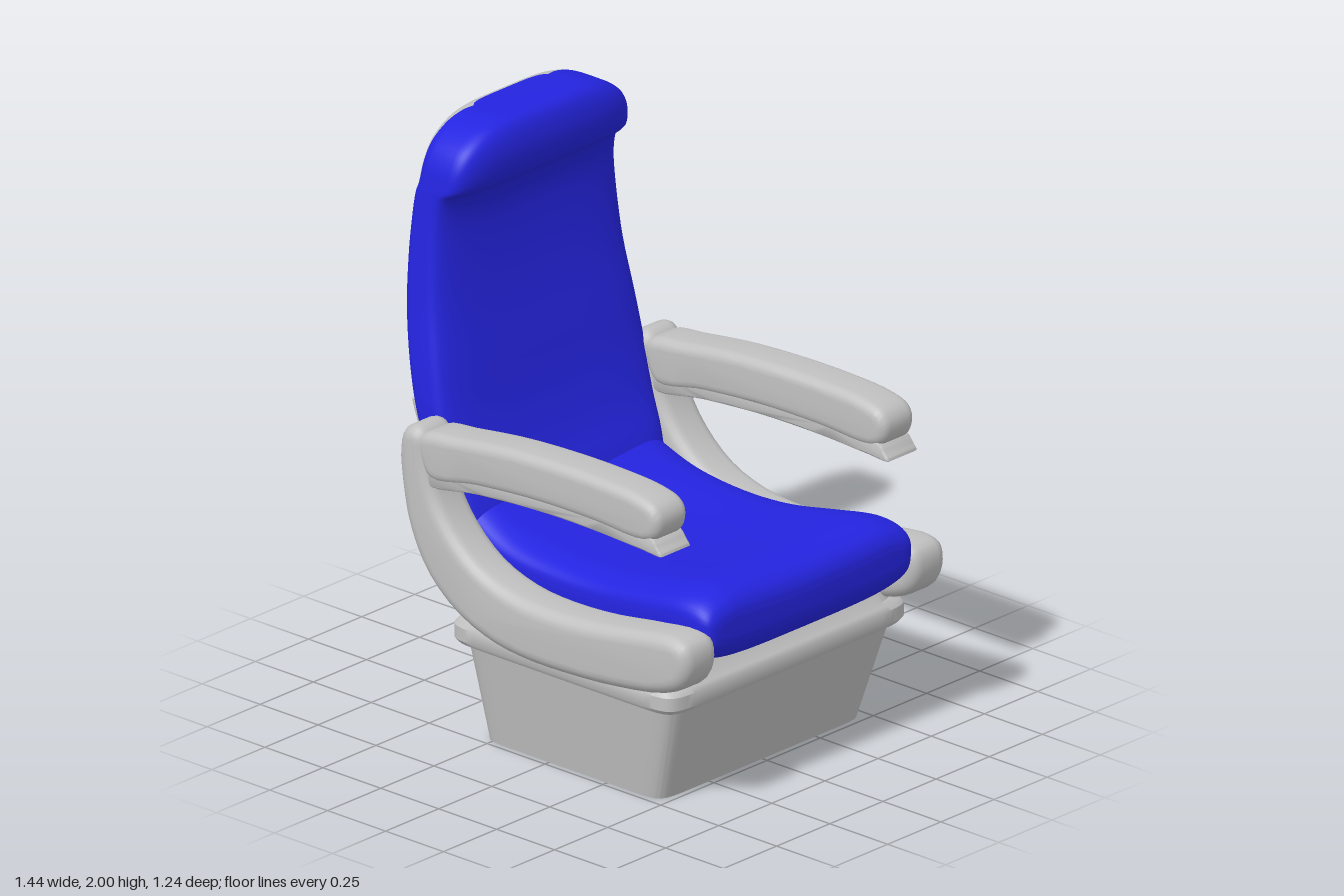
import * as THREE from 'three';
import { toCreasedNormals } from 'three/addons/utils/BufferGeometryUtils.js';
import { RoundedBoxGeometry } from 'three/addons/geometries/RoundedBoxGeometry.js';

const RING = 64;

// Lofts superellipse rings through rows of [t, low, high, halfWidth].
// place maps (t, u, v) to a position; isBack(k) marks ring faces for the second material.
function loft(rows, steps, power, place, isBack = () => false) {
  const span = new THREE.CatmullRomCurve3(rows.map(r => new THREE.Vector3(r[0], r[1], r[2])), false, 'catmullrom', 0.5);
  const width = new THREE.CatmullRomCurve3(rows.map(r => new THREE.Vector3(r[3], 0, 0)), false, 'catmullrom', 0.5);
  const pos = [], main = [], back = [];
  const soft = a => Math.sign(a) * Math.pow(Math.abs(a), 2 / power);
  for (let i = 0; i <= steps; i++) {
    const p = span.getPoint(i / steps), w = width.getPoint(i / steps).x;
    for (let k = 0; k < RING; k++) {
      const a = (k / RING) * Math.PI * 2;
      const c = Math.abs(Math.cos(a)) < 1e-9 ? 0 : Math.cos(a);
      const s = Math.abs(Math.sin(a)) < 1e-9 ? 0 : Math.sin(a);
      pos.push(...place(p.x, (p.y + p.z) / 2 + (p.z - p.y) / 2 * soft(c), w * soft(s)));
    }
  }
  for (let i = 0; i < steps; i++) {
    for (let k = 0; k < RING; k++) {
      const n = (k + 1) % RING, a = i * RING + k, b = i * RING + n, c = a + RING, d = b + RING;
      (isBack(k) ? back : main).push(a, c, b, b, c, d);
    }
  }
  // end caps
  for (const end of [0, 1]) {
    const r = rows[end ? rows.length - 1 : 0], centre = pos.length / 3, o = end * steps * RING;
    pos.push(...place(r[0], (r[1] + r[2]) / 2, 0));
    for (let k = 0; k < RING; k++) {
      const a = o + k, b = o + (k + 1) % RING;
      main.push(centre, end ? b : a, end ? a : b);
    }
  }
  const g = new THREE.BufferGeometry();
  g.setAttribute('position', new THREE.Float32BufferAttribute(pos, 3));
  g.setIndex([...main, ...back]);
  g.addGroup(0, main.length, 0);
  g.addGroup(main.length, back.length, 1);
  g.computeVertexNormals();
  return g;
}

// Extrudes a smooth closed side outline between two z values with rounded edges.
function sidePanel(points, z0, z1, bevel, samples = 72) {
  const curve = new THREE.CatmullRomCurve3(points.map(p => new THREE.Vector3(p[0], p[1], 0)), true, 'centripetal');
  const outline = curve.getPoints(samples).slice(0, -1).map(p => new THREE.Vector2(p.x, p.y));
  const g = new THREE.ExtrudeGeometry(new THREE.Shape(outline), {
    depth: z1 - z0 - 2 * bevel, bevelSize: bevel, bevelThickness: bevel, bevelOffset: -bevel, bevelSegments: 5,
  });
  g.translate(0, 0, z0 + bevel);
  return toCreasedNormals(g, 0.8);
}

export function createModel() {
  const blue = new THREE.MeshStandardMaterial({ color: 0x2424e0 });
  blue.name = 'blue upholstery';
  const grey = new THREE.MeshStandardMaterial({ color: 0xc0c0c0 });
  grey.name = 'grey plastic';

  const model = new THREE.Group();
  model.name = 'cabinSeat';
  const add = (name, geometry, material, parent = model) => {
    const mesh = new THREE.Mesh(geometry, material);
    mesh.name = name;
    parent.add(mesh);
    return mesh;
  };
  const upright = (t, u, v) => [u, t, v];

  // Tapered pedestal with a projecting lip
  const pedestal = loft([
    [0, -0.29, 0.48, 0.48], [0.345, -0.34, 0.58, 0.53], [0.345, -0.36, 0.6, 0.56], [0.36, -0.37, 0.61, 0.57],
    [0.405, -0.37, 0.61, 0.57], [0.42, -0.36, 0.6, 0.56], [0.43, -0.345, 0.585, 0.52], [0.5, -0.31, 0.55, 0.5],
  ], 7, 16, upright);
  pedestal.clearGroups();
  add('pedestal', toCreasedNormals(pedestal, 0.6), grey);

  // Backrest: blue padding with a grey shell over the rear faces
  const backrest = loft([
    [0.5, -0.41, -0.3, 0.42], [0.62, -0.45, -0.3, 0.44], [0.75, -0.51, -0.33, 0.46], [0.88, -0.56, -0.385, 0.475],
    [1.04, -0.612, -0.43, 0.485], [1.2, -0.655, -0.46, 0.475], [1.38, -0.685, -0.492, 0.455], [1.55, -0.688, -0.51, 0.44],
    [1.68, -0.682, -0.512, 0.428], [1.76, -0.676, -0.49, 0.422], [1.8, -0.672, -0.438, 0.418], [1.87, -0.665, -0.421, 0.405],
    [1.93, -0.66, -0.424, 0.37], [1.975, -0.655, -0.44, 0.3], [1.995, -0.645, -0.465, 0.23], [2, -0.63, -0.49, 0.18],
  ], 60, 4.5, upright, k => Math.abs(k + 0.5 - RING / 2) < 12);
  add('backrest', backrest, [blue, grey]);

  // Seat cushion, slightly hollow along the middle
  const cushion = loft([
    [-0.42, 0.56, 0.82, 0.44], [-0.34, 0.5, 0.77, 0.455], [-0.2, 0.48, 0.712, 0.465], [0, 0.48, 0.688, 0.465],
    [0.2, 0.48, 0.696, 0.47], [0.4, 0.48, 0.732, 0.485], [0.54, 0.485, 0.758, 0.493], [0.62, 0.495, 0.755, 0.493],
    [0.67, 0.515, 0.732, 0.485], [0.693, 0.55, 0.7, 0.465], [0.7, 0.59, 0.665, 0.43],
  ], 50, 4, (t, u, v) => [t, u - (u > 0.65 ? 0.02 * Math.max(0, 1 - (v / 0.36) ** 2) : 0), -v]);
  cushion.clearGroups();
  add('seatCushion', cushion, blue);

  // Curved side frames and armrests
  const frame = [
    [-0.535, 0.98], [-0.515, 1.045], [-0.465, 1.065], [-0.428, 1.04], [-0.415, 0.97], [-0.375, 0.84], [-0.3, 0.735],
    [-0.19, 0.65], [-0.05, 0.603], [0.1, 0.59], [0.3, 0.6], [0.5, 0.63], [0.64, 0.645], [0.7, 0.625], [0.715, 0.56],
    [0.685, 0.485], [0.6, 0.44], [0.4, 0.405], [0.2, 0.39], [0, 0.39], [-0.15, 0.413], [-0.3, 0.475], [-0.42, 0.58],
    [-0.495, 0.72], [-0.528, 0.87],
  ];
  const rest = [
    [-0.46, 1.0], [-0.44, 1.045], [-0.3, 1.068], [-0.1, 1.093], [0.1, 1.104], [0.3, 1.105], [0.48, 1.094], [0.56, 1.07],
    [0.584, 1.03], [0.57, 0.97], [0.52, 0.942], [0.3, 0.948], [0.05, 0.945], [-0.2, 0.925], [-0.41, 0.9],
  ];
  const lip = [
    [-0.43, 0.93], [-0.2, 0.96], [0.05, 0.975], [0.3, 0.975], [0.55, 0.965], [0.58, 0.935], [0.596, 0.912],
    [0.5, 0.914], [0.3, 0.922], [0.05, 0.92], [-0.2, 0.902], [-0.42, 0.878],
  ];
  for (const [side, s] of [['left', 1], ['right', -1]]) {
    const arm = new THREE.Group();
    arm.name = side + 'Arm';
    model.add(arm);
    const between = (a, b) => (s > 0 ? [a, b] : [-b, -a]);
    add('sideFrame', sidePanel(frame, ...between(0.455, 0.62), 0.045), grey, arm);
    add('armrest', sidePanel(rest, ...between(0.455, 0.612), 0.035), grey, arm);
    add('armrestLip', sidePanel(lip, ...between(0.463, 0.604), 0.008), grey, arm);
  }

  // Pocket flap leaning away from the lower back
  add('rearPocket', sidePanel([
    [-0.684, 1.035], [-0.66, 0.95], [-0.62, 0.83], [-0.57, 0.72], [-0.49, 0.61], [-0.41, 0.53],
    [-0.4, 0.56], [-0.48, 0.67], [-0.545, 0.8], [-0.595, 0.92], [-0.64, 1.01],
  ], -0.38, 0.38, 0.006), grey);

  // Folded tray with rounded corners and its latch
  const trayShape = new THREE.Shape();
  const w = 0.3, h = 0.175, r = 0.06;
  for (const [i, [x, y]] of [[w - r, h - r], [r - w, h - r], [r - w, r - h], [w - r, r - h]].entries()) {
    trayShape.absarc(x, y, r, i * Math.PI / 2, (i + 1) * Math.PI / 2, false);
  }
  const tray = new THREE.ExtrudeGeometry(trayShape, {
    depth: 0.025, bevelSize: 0.012, bevelThickness: 0.012, bevelOffset: -0.012, bevelSegments: 3,
  });
  tray.rotateY(-Math.PI / 2);
  const trayMesh = add('trayTable', toCreasedNormals(tray, 0.8), grey);
  trayMesh.position.set(-0.672, 1.515, 0);
  trayMesh.rotation.z = 0.04;
  add('trayLatch', new RoundedBoxGeometry(0.022, 0.1, 0.035, 3, 0.008), grey).position.set(-0.713, 1.6, 0);

  return model;
}
